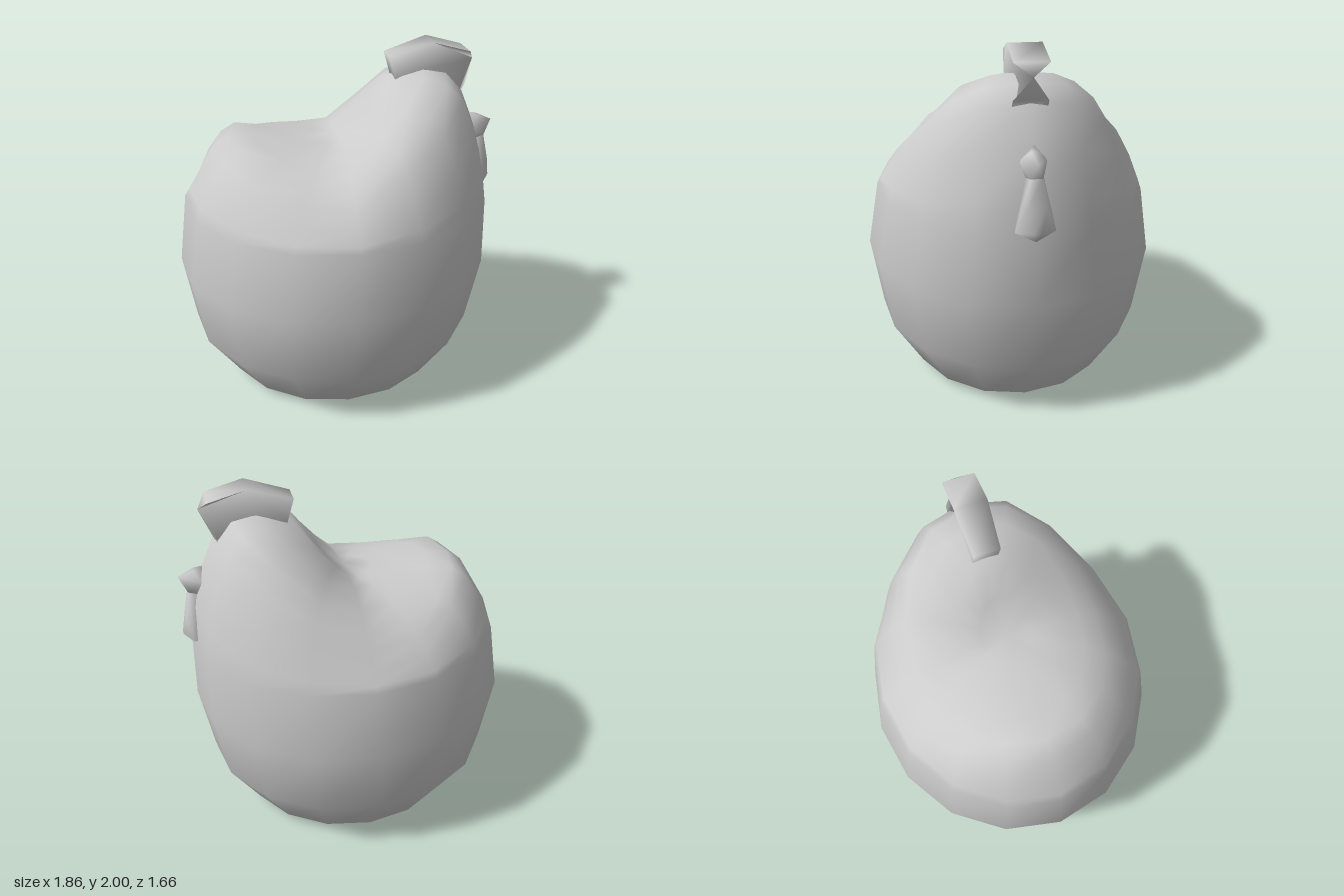
import * as THREE from 'three';
import { mergeVertices } from 'three/addons/utils/BufferGeometryUtils.js';
import { ConvexGeometry } from 'three/addons/geometries/ConvexGeometry.js';

const SIDES = 16;

// Ridge line of back, saddle and head: x, height
const RIDGE = [[-0.87, 1.16], [-0.68, 1.47], [-0.56, 1.53], [-0.42, 1.5], [-0.02, 1.47], [0.16, 1.63],
  [0.29, 1.81], [0.48, 1.85], [0.61, 1.83], [0.7, 1.75], [0.78, 1.57], [0.85, 1.4], [0.88, 1.12]];

function ridgeHeight(x) {
  if (x <= RIDGE[0][0]) return RIDGE[0][1];
  for (let i = 1; i < RIDGE.length; i++) {
    const [x0, y0] = RIDGE[i - 1], [x1, y1] = RIDGE[i];
    if (x <= x1) return y0 + (y1 - y0) * (x - x0) / (x1 - x0);
  }
  return RIDGE[RIDGE.length - 1][1];
}

// Height of the upper body: full at the ridge, falling to the shoulder ring
function topHeight(x, z) {
  const halfWidth = 0.76 * Math.sqrt(Math.max(1e-4, 1 - ((x - 0.005) / 0.875) ** 2));
  const t = Math.min(1, Math.abs(z) / halfWidth);
  return 1.13 + (ridgeHeight(x) - 1.13) * (1 - t ** 2.8);
}

function bodyGeometry() {
  const pos = [], index = [];
  const addRing = (cx, rx, rz, height) => {
    for (let i = 0; i < SIDES; i++) {
      const a = i / SIDES * Math.PI * 2;
      const x = cx + rx * Math.cos(a), z = rz * Math.sin(a);
      pos.push(x, typeof height === 'number' ? height : height(x, z), z);
    }
  };
  // Lower rings: centre x, radius x, radius z, height
  const lower = [[-0.02, 0.54, 0.48, 0], [-0.02, 0.66, 0.6, 0.05], [-0.025, 0.845, 0.77, 0.34], [-0.02, 0.91, 0.83, 0.75]];
  lower.forEach((r) => addRing(...r));
  // Shoulder ring and the rings closing over the top
  const upper = [1, 0.97, 0.9, 0.8, 0.7, 0.55, 0.33, 0.18];
  upper.forEach((f) => addRing(0.005, 0.875 * f, 0.76 * f, topHeight));
  const rings = lower.length + upper.length;
  for (let r = 0; r < rings - 1; r++) {
    for (let i = 0; i < SIDES; i++) {
      const a = r * SIDES + i, b = r * SIDES + (i + 1) % SIDES;
      index.push(a, a + SIDES, b, b, a + SIDES, b + SIDES);
    }
  }
  // Crown vertex and flat base
  const top = pos.length / 3, last = (rings - 1) * SIDES;
  pos.push(0.005, topHeight(0.005, 0), 0, -0.02, 0, 0);
  for (let i = 0; i < SIDES; i++) {
    const j = (i + 1) % SIDES;
    index.push(last + i, top, last + j, i, j, top + 1);
  }
  const g = new THREE.BufferGeometry();
  g.setAttribute('position', new THREE.Float32BufferAttribute(pos, 3));
  g.setIndex(index);
  g.computeVertexNormals();
  return g;
}

// Share vertices so the normals are smooth
function smooth(geometry) {
  geometry.deleteAttribute('normal');
  geometry.deleteAttribute('uv');
  const g = mergeVertices(geometry, 1e-4);
  g.computeVertexNormals();
  return g;
}

// Upright comb, tapering to an edge at its front tip
function combGeometry() {
  const outline = [[0.33, 1.72], [0.67, 1.7], [0.705, 1.76], [0.77, 1.885], [0.725, 1.945], [0.52, 2], [0.28, 1.925], [0.315, 1.81]];
  const shape = new THREE.Shape(outline.map(([x, y]) => new THREE.Vector2(x, y)));
  const g = new THREE.ExtrudeGeometry(shape, { depth: 2, bevelEnabled: false });
  g.translate(0, 0, -1);
  const p = g.attributes.position;
  for (let i = 0; i < p.count; i++) {
    const x = p.getX(i);
    const half = x > 0.76 ? 0 : x < 0.4 ? 0.07 : 0.088;
    p.setZ(i, p.getZ(i) * half);
  }
  return smooth(g);
}

// Small convex lump; points with z > 0 are mirrored
function lumpGeometry(points) {
  const all = [];
  for (const [x, y, z] of points) {
    all.push(new THREE.Vector3(x, y, z));
    if (z > 0) all.push(new THREE.Vector3(x, y, -z));
  }
  return smooth(new ConvexGeometry(all));
}

export function createModel() {
  const group = new THREE.Group();
  const material = new THREE.MeshStandardMaterial({ color: 0xcccccc });
  const add = (name, geometry) => {
    const mesh = new THREE.Mesh(geometry, material);
    mesh.name = name;
    group.add(mesh);
  };
  add('body', bodyGeometry());
  add('comb', combGeometry());
  add('beak', lumpGeometry([[0.76, 1.57, 0], [0.83, 1.55, 0.02], [0.915, 1.515, 0], [0.78, 1.49, 0.07], [0.87, 1.43, 0.03], [0.76, 1.4, 0.06]]));
  add('wattle', lumpGeometry([[0.8, 1.46, 0.04], [0.87, 1.43, 0.03], [0.9, 1.29, 0.045], [0.925, 1.17, 0.02], [0.87, 1.16, 0.1], [0.88, 1.11, 0], [0.8, 1.16, 0.1]]));
  return group;
}
